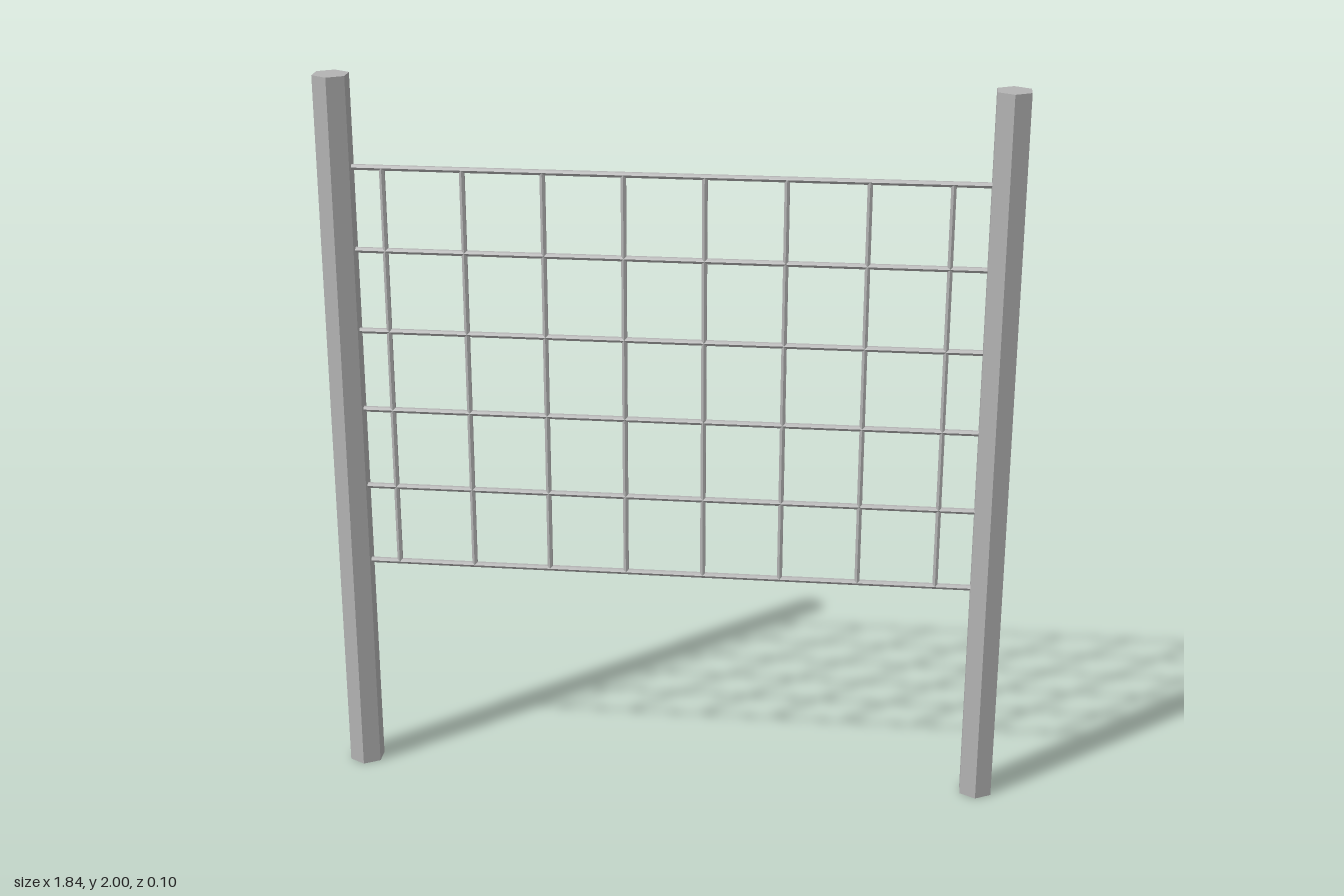
import * as THREE from 'three';

export function createModel() {
  const model = new THREE.Group();
  const steel = new THREE.MeshStandardMaterial({ color: 0xb4b4b4 });
  steel.name = 'grey steel';
  steel.flatShading = true;

  // Six-sided bar centred at (x, y), standing upright or lying along x
  function addBar(name, radius, length, x, y, lying = false) {
    const geometry = new THREE.CylinderGeometry(radius, radius, length, 6);
    if (lying) geometry.rotateZ(Math.PI / 2);
    const bar = new THREE.Mesh(geometry, steel);
    bar.name = name;
    bar.position.set(x, y, 0);
    model.add(bar);
  }

  // Hexagonal end posts
  addBar('leftPost', 0.05, 2, 0.875, 1);
  addBar('rightPost', 0.05, 2, -0.875, 1);

  // Horizontal rails between the posts
  const bottom = 0.627, railGap = 0.2255, railCount = 6;
  for (let i = 0; i < railCount; i++) {
    addBar('rail' + (i + 1), 0.008, 1.75, 0, bottom + i * railGap, true);
  }

  // Upright wires, slightly off centre, from the lowest to the highest rail
  const height = railGap * (railCount - 1);
  for (let i = 0; i < 8; i++) {
    addBar('upright' + (i + 1), 0.008, height, -0.751 + i * 0.2124, bottom + height / 2);
  }
  return model;
}
